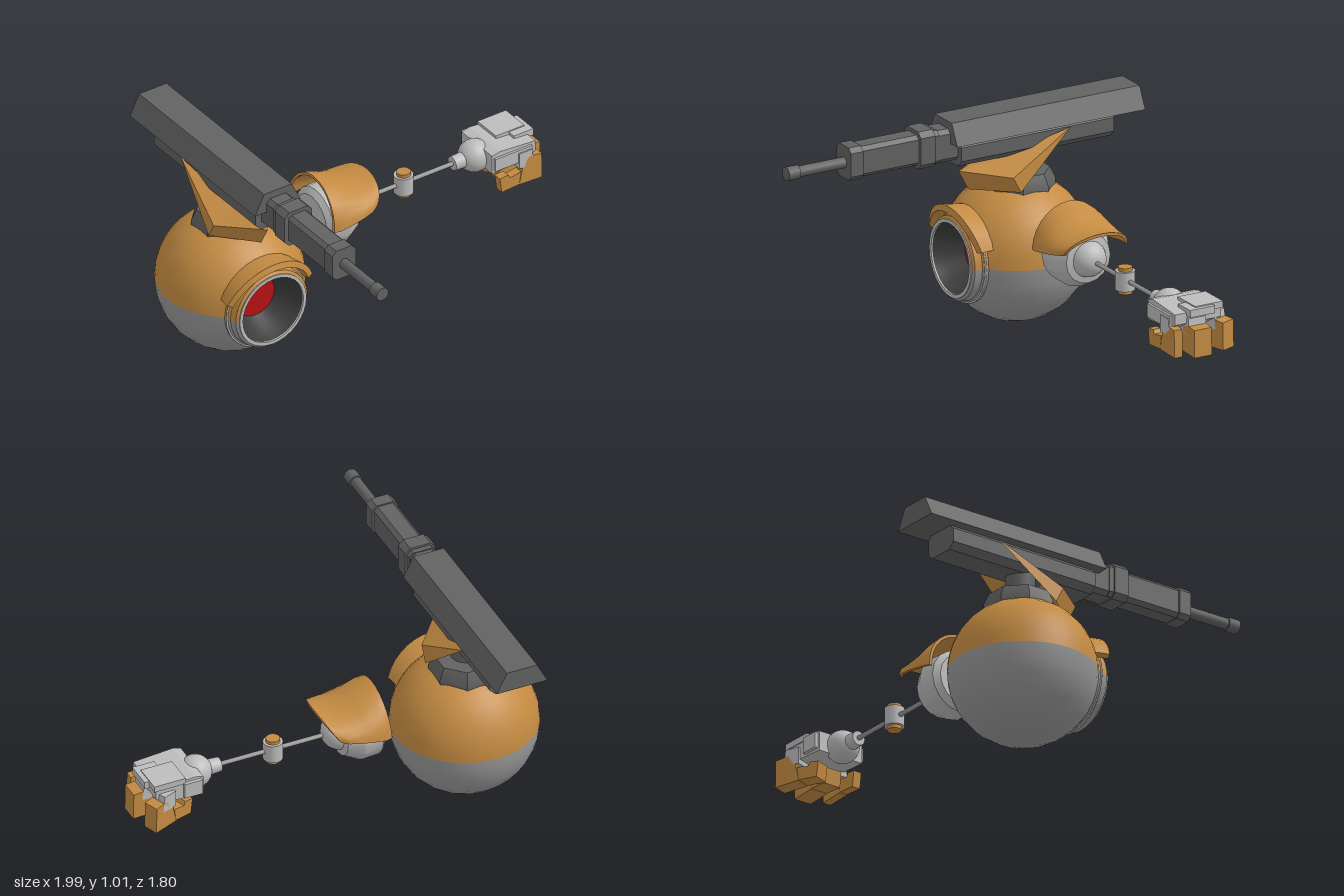
import * as THREE from 'three';
import { toCreasedNormals } from 'three/addons/utils/BufferGeometryUtils.js';

const mat = (name, color) => new THREE.MeshStandardMaterial({ name, color, side: THREE.DoubleSide });

// rings of [x, y, z] joined into a capped solid with flat faces
function loft(rings) {
  const pos = [];
  const quad = (a, b, c, d) => pos.push(...a, ...b, ...c, ...a, ...c, ...d);
  for (let i = 0; i < rings.length - 1; i++) {
    const p = rings[i], q = rings[i + 1], n = p.length;
    for (let j = 0; j < n; j++) quad(p[j], p[(j + 1) % n], q[(j + 1) % n], q[j]);
  }
  for (const r of [rings[0], rings[rings.length - 1]]) quad(r[0], r[1], r[2], r[3]);
  const g = new THREE.BufferGeometry();
  g.setAttribute('position', new THREE.Float32BufferAttribute(pos, 3));
  g.computeVertexNormals();
  return toCreasedNormals(g, 0.6);
}

// turned solid, profile given as [radius, height]
const turned = (pts, segs, start = 0, len = Math.PI * 2, crease = 0.6) =>
  toCreasedNormals(new THREE.LatheGeometry(pts.map(p => new THREE.Vector2(...p)), segs, start, len), crease);

// outline extruded along z
function prism(pts, z0, z1) {
  const shape = new THREE.Shape(pts.map(p => new THREE.Vector2(...p)));
  return new THREE.ExtrudeGeometry(shape, { depth: z1 - z0, bevelEnabled: false }).translate(0, 0, z0);
}

// rectangle with cut corners
const cutRect = (w, y0, y1, c) => [
  [-w + c, y0], [w - c, y0], [w, y0 + c], [w, y1 - c],
  [w - c, y1], [-w + c, y1], [-w, y1 - c], [-w, y0 + c]];

export function createModel() {
  const model = new THREE.Group();
  model.name = 'floatingGunRobot';
  const orange = mat('orange paint', 0xc48b42);
  const grey = mat('body grey', 0x989898);
  const light = mat('light metal', 0xbcbcbc);
  const dark = mat('gun metal', 0x626262);
  const socket = mat('eye socket', 0x3c3c3c);
  const red = mat('red lens', 0xb81010);
  const add = (parent, name, geo, material) => {
    const m = new THREE.Mesh(geo, material);
    m.name = name;
    parent.add(m);
    return m;
  };
  const group = (name, x, y, z) => {
    const g = new THREE.Group();
    g.name = name;
    g.position.set(x, y, z);
    model.add(g);
    return g;
  };

  // ball body, open at the front for the eye; upper half painted
  const body = group('body', -0.66, 0.347, -0.295);
  const ball = [];
  for (let i = 0; i <= 16; i++) {
    const a = Math.PI - i / 16 * (Math.PI - 0.68);
    ball.push([0.34 * Math.sin(a), 0.34 * Math.cos(a)]);
  }
  const housing = [[0.214, 0.25], [0.212, 0.28], [0.2, 0.29], [0.195, 0.325], [0.18, 0.335]];
  for (const [name, start, material] of [['upper', Math.PI / 2, orange], ['lower', -Math.PI / 2, grey]]) {
    add(body, name + 'Shell', turned(ball, 14, start, Math.PI).rotateX(Math.PI / 2), material);
    add(body, name + 'EyeHousing', turned(housing, 16, start, Math.PI).rotateX(Math.PI / 2), material);
  }
  add(body, 'eyeSeam', new THREE.TorusGeometry(0.212, 0.005, 6, 32).translate(0, 0, 0.28), light);
  add(body, 'eyeRim', turned([[0.182, 0.325], [0.182, 0.339], [0.165, 0.339], [0.165, 0.32]], 32).rotateX(Math.PI / 2), light);
  add(body, 'eyeSocket', turned([[0.166, 0.335], [0.15, 0.28], [0.1, 0.2]], 32).rotateX(Math.PI / 2), socket);
  add(body, 'eyeLens', new THREE.CircleGeometry(0.102, 32).translate(0, 0, 0.202), red);

  // brow hood over the eye
  const brow = [];
  for (let i = 0; i <= 14; i++) {
    const a = THREE.MathUtils.degToRad(22 + i / 14 * 136), s = Math.sin(a);
    const front = 0.29 + 0.058 * s;
    brow.push([[0.25, front], [0.222, front + 0.01], [0.205, 0.24], [0.235, 0.235]]
      .map(([r, z]) => [r * Math.cos(a), r * s, z]));
  }
  add(body, 'eyeBrow', loft(brow), orange);

  // pedestal under the gun
  const mount = group('gunMount', -0.66, 0, -0.31);
  add(mount, 'mountBase', turned([[0.17, 0.62], [0.17, 0.66], [0.145, 0.715], [0, 0.715]], 8, Math.PI / 8), dark);
  add(mount, 'mountPost', new THREE.CylinderGeometry(0.07, 0.07, 0.13, 16).translate(0, 0.755, 0), dark);

  // gun, front to back
  const gun = group('gun', -0.66, 0, 0);
  add(gun, 'gunCover', prism([[-0.125, 0.92], [0.125, 0.92], [0.075, 1.02], [-0.075, 1.02]], -0.9, 0.08), dark);
  const stages = [
    ['gunBody', 0.093, 0.805, 0.93, 0.03, -0.755, 0.04],
    ['barrelRoot', 0.062, 0.83, 0.985, 0.02, 0.0, 0.15],
    ['rearCollar', 0.075, 0.823, 1.0, 0.025, 0.165, 0.24],
    ['rearCollarNeck', 0.067, 0.83, 0.99, 0.02, 0.14, 0.165],
    ['barrelSleeve', 0.055, 0.838, 0.982, 0.018, 0.24, 0.54],
    ['frontCollar', 0.064, 0.833, 0.988, 0.022, 0.535, 0.598]];
  for (const [name, w, y0, y1, c, z0, z1] of stages) add(gun, name, prism(cutRect(w, y0, y1, c), z0, z1), dark);
  for (const [name, r, z0, z1] of [['barrel', 0.026, 0.59, 0.89], ['muzzle', 0.033, 0.84, 0.9]])
    add(gun, name, new THREE.CylinderGeometry(r, r, z1 - z0, 12).rotateX(Math.PI / 2).translate(0, 0.907, (z0 + z1) / 2), dark);

  // pointed guard with two swept wings
  const P = [0, 0.755, 0], Q = [0, 0.66, -0.05];
  const guard = [];
  for (const s of [1, -1]) {
    const F = [s * 0.162, 0.735, -0.19], B = [s * 0.162, 0.66, -0.23];
    const T = [s * 0.113, 0.907, -0.52], C = [s * 0.055, 0.802, -0.2];
    const tris = [[P, F, C], [F, T, C], [P, Q, B], [P, B, F], [F, B, T], [B, C, T], [P, C, [0, 0.802, -0.2]]];
    for (const t of tris) guard.push(...(s > 0 ? t : [t[0], t[2], t[1]]).flat());
  }
  const guardGeo = new THREE.BufferGeometry();
  guardGeo.setAttribute('position', new THREE.Float32BufferAttribute(guard, 3));
  guardGeo.computeVertexNormals();
  add(gun, 'gunGuard', guardGeo, orange);

  // shoulder: turned hub, ball and curved pad
  const arm = group('arm', 0, 0.477, -0.3);
  add(arm, 'shoulderHub', turned([[0, -0.212], [0.12, -0.212], [0.148, -0.19], [0.152, -0.1], [0.115, -0.03], [0.07, -0.02]], 16)
    .rotateZ(-Math.PI / 2), light);
  add(arm, 'shoulderBall', new THREE.SphereGeometry(0.085, 20, 14).translate(-0.036, 0, 0), light);
  const pad = [];
  const spans = [[0, 0.183, 0.025, 0.224], [0.12, 0.195, 0.027, 0.212], [0.4, 0.196, 0.038, 0.172],
    [0.65, 0.193, 0.048, 0.146], [0.85, 0.185, 0.056, 0.145], [1, 0.165, 0.062, 0.155]];
  for (const [s, w, low, top] of spans) {
    const outer = [], inner = [];
    for (let i = 0; i <= 14; i++) {
      const a = i / 14 * Math.PI, k = Math.sin(a);
      const x = -0.215 + 0.015 * k * (1 - s) + s * (0.245 + 0.058 * k);
      outer.push([x, low + (top - low) * k, w * Math.cos(a)]);
      inner.unshift([x, low + (top - low - 0.014) * k, (w - 0.014) * Math.cos(a)]);
    }
    pad.push([...outer, ...inner]);
  }
  // rim strips close both ends of the pad
  const rim = r => Array.from({ length: 15 }, (_, i) => [r[i], r[29 - i], r[29 - i], r[i]]);
  const sides = loft(pad).toNonIndexed();
  sides.setDrawRange(0, (pad.length - 1) * 30 * 6);
  add(arm, 'shoulderPad', sides, orange);
  add(arm, 'padInnerRim', loft(rim(pad[0])), orange);
  add(arm, 'padOuterRim', loft(rim(pad[pad.length - 1])), orange);

  // rod, elbow and wrist
  add(arm, 'armRod', new THREE.CylinderGeometry(0.011, 0.011, 0.54, 10).rotateZ(Math.PI / 2).translate(0.31, 0, 0), grey);
  add(arm, 'elbow', new THREE.CylinderGeometry(0.046, 0.046, 0.09, 16).translate(0.29, 0, 0), light);
  add(arm, 'elbowPin', new THREE.CylinderGeometry(0.033, 0.033, 0.124, 16).translate(0.29, 0, 0), orange);
  add(arm, 'wristCuff', new THREE.CylinderGeometry(0.038, 0.034, 0.07, 16).rotateZ(-Math.PI / 2).translate(0.59, 0, 0), light);
  add(arm, 'wristBall', new THREE.SphereGeometry(0.077, 20, 14).translate(0.675, 0, 0), light);

  // hand: palm slab with raised plates
  const hand = group('hand', 0, 0, 0);
  const box = (name, x0, x1, y0, y1, z0, z1, material) =>
    add(hand, name, new THREE.BoxGeometry(x1 - x0, y1 - y0, z1 - z0)
      .translate((x0 + x1) / 2, (y0 + y1) / 2, (z0 + z1) / 2), material);
  const palm = prism([[0.69, 0.435], [0.88, 0.445], [0.925, 0.475], [0.925, 0.525], [0.73, 0.54], [0.69, 0.53]], -0.42, -0.18);
  add(hand, 'palm', palm, light);
  box('palmEdgeBack', 0.7, 0.79, 0.45, 0.525, -0.437, -0.415, light);
  box('palmEdgeFront', 0.7, 0.9, 0.45, 0.515, -0.185, -0.168, light);
  box('handPlate', 0.78, 0.935, 0.52, 0.55, -0.425, -0.28, light);
  box('knucklePlate', 0.85, 0.957, 0.51, 0.545, -0.37, -0.24, light);

  // curled fingers: knuckle, upper link and tip
  for (const [z, w, x, turn] of [[-0.183, 0.042, -0.045, 0], [-0.285, 0.09, 0, 0], [-0.412, 0.075, -0.03, 0.35]]) {
    const finger = group('finger', 0.92 + x, 0, z);
    finger.rotation.y = turn;
    const link = (name, pts, material) => add(finger, name, prism(pts, -w / 2, w / 2), material);
    link('fingerKnuckle', [[-0.05, 0.42], [0.03, 0.42], [0.02, 0.5], [-0.05, 0.5]], light);
    link('fingerLink', [[-0.05, 0.335], [0.075, 0.33], [0.072, 0.46], [0.01, 0.467], [-0.025, 0.45]], orange);
    link('fingerTip', [[-0.145, 0.33], [-0.05, 0.337], [-0.04, 0.402], [-0.1, 0.392], [-0.11, 0.41], [-0.155, 0.405]], orange);
  }
  return model;
}
